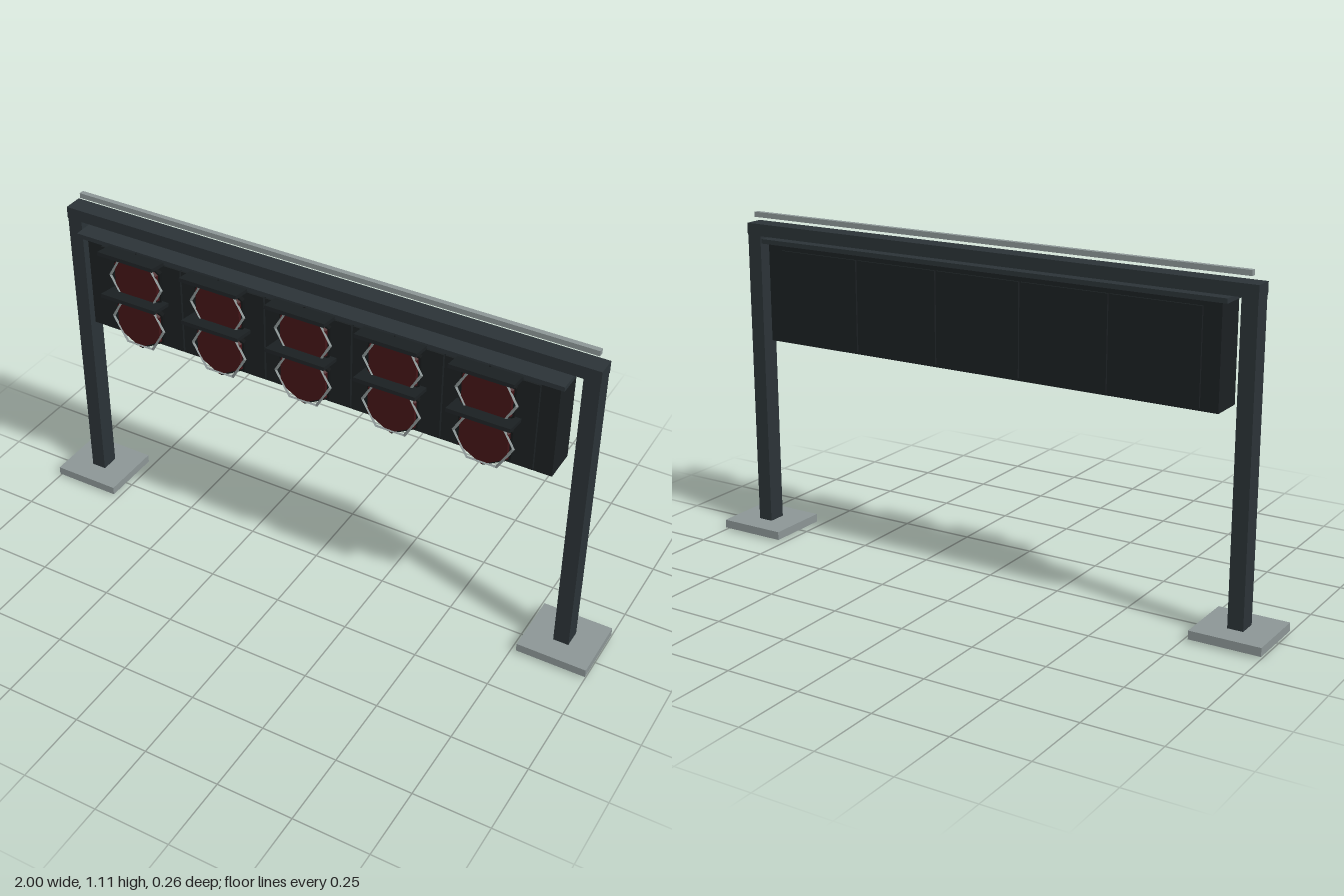
import * as THREE from 'three';

const mat = (color) => new THREE.MeshStandardMaterial({ color, flatShading: true });
const steel = mat(0x2b3337);
const black = mat(0x1b2022);
const dark = mat(0x141718);
const red = mat(0x421416);
const metal = mat(0x8c9696);

export function createModel() {
  const model = new THREE.Group();
  model.name = 'startLightGantry';

  const add = (parent, name, geometry, material, x, y, z) => {
    const mesh = new THREE.Mesh(geometry, material);
    mesh.name = name;
    mesh.position.set(x, y, z);
    parent.add(mesh);
    return mesh;
  };
  // Box given by its centre in x and its limits in y and z
  const box = (parent, name, material, x, width, y0, y1, z0, z1) =>
    add(parent, name, new THREE.BoxGeometry(width, y1 - y0, z1 - z0), material,
      x, (y0 + y1) / 2, (z0 + z1) / 2);

  // Posts on wide feet with a small pad below
  for (const side of [-1, 1]) {
    const leg = new THREE.Group();
    leg.name = side > 0 ? 'leftLeg' : 'rightLeg';
    model.add(leg);
    box(leg, 'post', steel, side * 0.884, 0.051, 0.03, 1.05, -0.056, 0.006);
    box(leg, 'foot', metal, side * 0.884, 0.232, 0.008, 0.036, -0.132, 0.082);
    box(leg, 'footPad', dark, side * 0.884, 0.12, 0, 0.01, -0.085, 0.035);
  }

  // Crossbeam and the thin rail floating above it
  box(model, 'crossbeam', steel, 0, 1.822, 1.034, 1.074, -0.057, 0.007);
  box(model, 'topRail', metal, 0, 1.77, 1.095, 1.112, -0.049, -0.032);

  // Light housing with its cover plate
  box(model, 'housing', black, 0, 1.62, 0.691, 1.018, -0.072, 0.041);
  box(model, 'coverPlate', steel, 0, 1.66, 1.017, 1.032, -0.085, 0.068);

  // Shared shapes of a lamp; the hexagonal can has corners up and down
  const can = new THREE.CylinderGeometry(0.1, 0.087, 0.05, 6).rotateX(Math.PI / 2);
  const lens = new THREE.CylinderGeometry(0.09, 0.093, 0.012, 6).rotateX(Math.PI / 2);
  const ring = new THREE.TorusGeometry(0.096, 0.005, 4, 6);
  const hood = new THREE.BoxGeometry(0.204, 0.012, 0.077);

  // Five bays, each with front and back panels and two lamps
  for (let i = -2; i <= 2; i++) {
    const x = i * 0.302;
    const bay = new THREE.Group();
    bay.name = 'bay' + (i + 3);
    model.add(bay);
    box(bay, 'frontPanel', black, x, 0.296, 0.7, 1.0, 0.035, 0.052);
    box(bay, 'backPanel', black, x, 0.296, 0.7, 1.0, -0.079, -0.07);
    for (const y of [0.775, 0.928]) {
      const lamp = new THREE.Group();
      lamp.name = y > 0.9 ? 'upperLamp' : 'lowerLamp';
      lamp.position.set(x, y, 0);
      bay.add(lamp);
      add(lamp, 'can', can, dark, 0, 0, 0.047);
      add(lamp, 'lens', lens, red, 0, 0, 0.076);
      add(lamp, 'ring', ring, metal, 0, 0, 0.081);
      add(lamp, 'hood', hood, black, 0, 0.095, 0.094).rotation.x = -0.15;
    }
  }
  return model;
}
